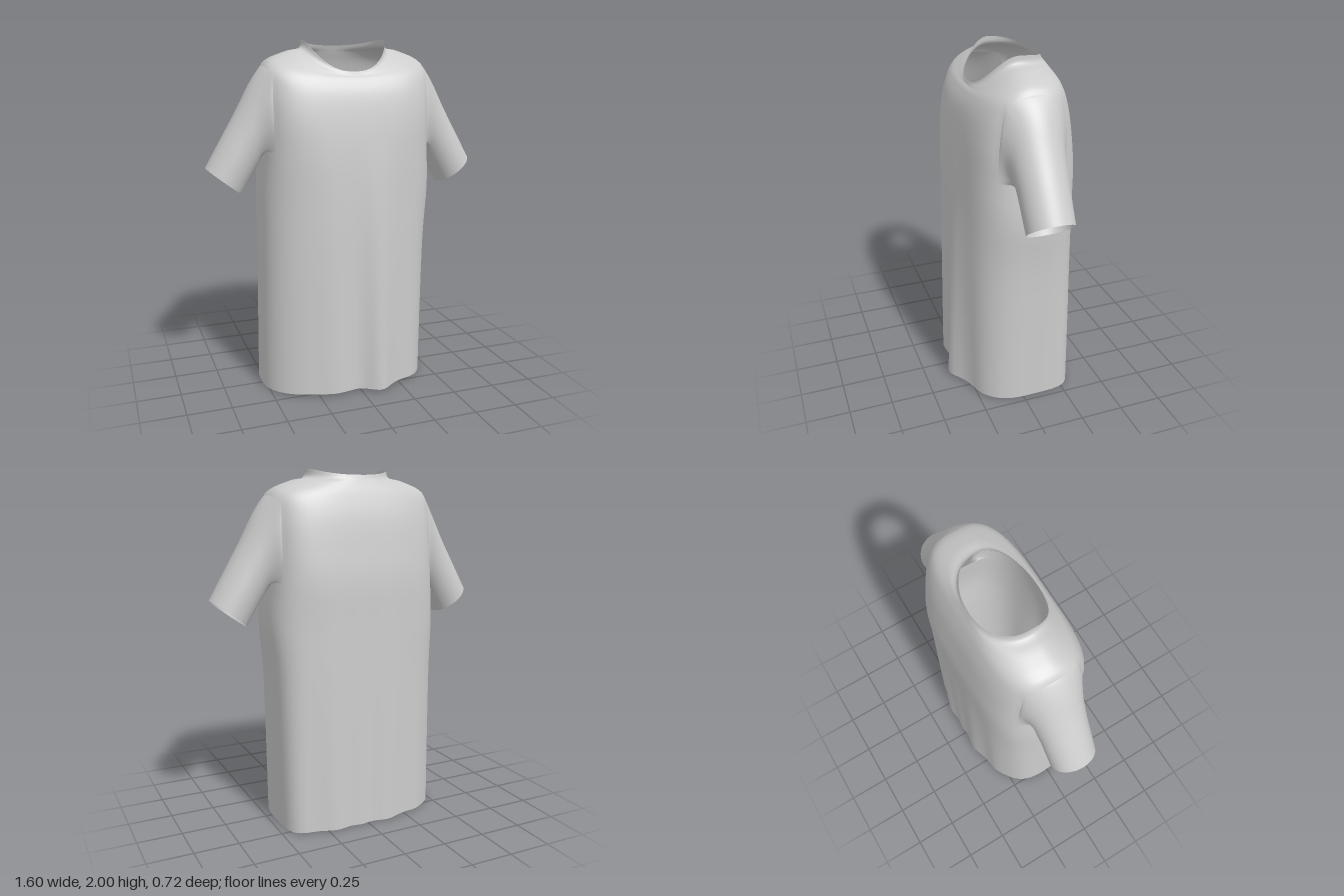
import * as THREE from 'three';

const COLS = 96, STEPS = 5, ZC = -0.03;

// Body rings, hem to collar: [side y, front y, back y, left x, right x, front z, back z,
// squareness of the front left, front right, back left and back right corners]
const BODY = [
  [0.005, 0.02, 0.012, 0.462, 0.52, 0.31, -0.335, 2.7, 2.5, 5.5, 2.8],
  [0.8, 0.8, 0.8, 0.475, 0.505, 0.30, -0.335, 2.7, 2.5, 4.2, 3.1],
  [1.15, 1.15, 1.15, 0.499, 0.50, 0.29, -0.335, 2.7, 2.6, 3.5, 3.5],
  [1.4, 1.4, 1.4, 0.482, 0.482, 0.275, -0.335, 3.2, 3.2, 3.7, 3.7],
  [1.6, 1.58, 1.58, 0.475, 0.475, 0.254, -0.316, 3.8, 3.8, 3.8, 3.8],
  [1.76, 1.71, 1.74, 0.475, 0.475, 0.228, -0.292, 3.6, 3.6, 3.5, 3.5],
  [1.878, 1.785, 1.855, 0.455, 0.455, 0.196, -0.26, 3.2, 3.2, 3.1, 3.1],
  [1.937, 1.81, 1.92, 0.33, 0.33, 0.176, -0.234, 2.7, 2.7, 2.6, 2.6],
  [1.955, 1.82, 1.945, 0.25, 0.25, 0.172, -0.224, 2.3, 2.3, 2.3, 2.3],
  [2.0, 1.83, 1.967, 0.237, 0.237, 0.168, -0.216, 2.2, 2.2, 2.2, 2.2],
];

// Sleeve rings, armhole to cuff: [top x, top y, bottom x, bottom y, half depth]
const SLEEVE = [
  [0.465, 1.872, 0.475, 1.4, 0.195],
  [0.53, 1.785, 0.495, 1.345, 0.152],
  [0.62, 1.62, 0.535, 1.28, 0.137],
  [0.71, 1.465, 0.572, 1.22, 0.132],
  [0.8, 1.31, 0.607, 1.16, 0.128],
];

// Cloth folds that deepen towards the hem: [x, width, depth]
const FRONT_FOLDS = [[0.11, 0.07, 0.055], [-0.17, 0.07, 0.015], [0.28, 0.07, -0.02], [-0.02, 0.05, -0.012]];
const BACK_FOLDS = [[0.2, 0.07, 0.028], [-0.12, 0.08, 0.03], [0.05, 0.06, 0.02], [-0.34, 0.05, 0.015], [0.33, 0.05, -0.012]];

// Smooth interpolation through a list of rows
function sample(rows, t) {
  const i = Math.min(Math.floor(t), rows.length - 2), f = t - i;
  const row = (k) => rows[THREE.MathUtils.clamp(k, 0, rows.length - 1)];
  return rows[0].map((_, c) => {
    const [a, b, d, e] = [row(i - 1)[c], row(i)[c], row(i + 1)[c], row(i + 2)[c]];
    return b + 0.5 * f * (d - a + f * (2 * a - 5 * b + 4 * d - e + f * (3 * (b - d) + e - a)));
  });
}

function foldDepth(folds, x, y) {
  const fade = Math.max(0, 1 - y / 1.45);
  return fade * folds.reduce((sum, [cx, w, d]) => sum + d * Math.exp(-(((x - cx) / w) ** 2)), 0);
}

function bodyPoint(row, angle) {
  const [ySide, yFront, yBack, xl, xr, zf, zb, ...corners] = row;
  const c = Math.cos(angle), s = Math.sin(angle);
  const n = corners[(s > 0 ? 0 : 2) + (c > 0 ? 0 : 1)];
  const r = (Math.abs(c) ** n + Math.abs(s) ** n) ** (-1 / n);
  const y = ySide + ((s > 0 ? yFront : yBack) - ySide) * (1 - Math.abs(c) ** 2.6);
  const x = r * c * (c > 0 ? xl : xr);
  const depth = foldDepth(s > 0 ? FRONT_FOLDS : BACK_FOLDS, x, y) * s * s;
  const z = s > 0 ? ZC + r * s * (zf - ZC) + depth : ZC - r * s * (zb - ZC) - depth;
  return [x, y, z];
}

function shirtGeometry() {
  const pos = [], index = [];
  const rows = (BODY.length - 1) * STEPS;
  const at = (i, j) => i * COLS + ((j + COLS) % COLS);
  const lowRow = 15, highRow = 29, halfHole = 9;

  // Body, leaving out the two armholes
  for (let i = 0; i <= rows; i++) {
    const row = sample(BODY, i / STEPS);
    for (let j = 0; j < COLS; j++) pos.push(...bodyPoint(row, (j / COLS) * Math.PI * 2));
  }
  const inHole = (i, j) => i >= lowRow && i < highRow &&
    [0, COLS / 2, COLS].some((m) => j >= m - halfHole && j < m + halfHole);
  for (let i = 0; i < rows; i++) {
    for (let j = 0; j < COLS; j++) {
      if (inHole(i, j)) continue;
      const a = at(i, j), b = at(i, j + 1), c = at(i + 1, j + 1), d = at(i + 1, j);
      index.push(a, d, c, a, c, b);
    }
  }

  // Sleeves grow out of the armhole edges
  for (const [mid, side] of [[0, 1], [COLS / 2, -1]]) {
    let ring = [];
    for (let j = -halfHole; j < halfHole; j++) ring.push(at(lowRow, mid + j));
    for (let i = lowRow; i < highRow; i++) ring.push(at(i, mid + halfHole));
    for (let j = halfHole; j > -halfHole; j--) ring.push(at(highRow, mid + j));
    for (let i = highRow; i > lowRow; i--) ring.push(at(i, mid - halfHole));
    const edge = ring.map((v) => pos.slice(v * 3, v * 3 + 3));
    const angles = edge.map(([, y, z]) => Math.atan2((y - 1.63) / 0.23, (z - ZC) / 0.19));

    const count = 20;
    for (let k = 1; k <= count; k++) {
      const [tx, ty, bx, by, hz] = sample(SLEEVE, (k / count) * (SLEEVE.length - 1));
      const blend = THREE.MathUtils.smoothstep(k / count, -0.05, 0.35);
      const next = angles.map((a, l) => {
        const s = Math.sin(a);
        const target = [
          side * ((tx + bx) / 2 + ((tx - bx) / 2) * s),
          (ty + by) / 2 + ((ty - by) / 2) * s,
          ZC + hz * Math.cos(a),
        ];
        pos.push(...target.map((v, c) => THREE.MathUtils.lerp(edge[l][c], v, blend)));
        return pos.length / 3 - 1;
      });
      ring.forEach((p, l) => {
        const m = (l + 1) % ring.length;
        index.push(p, next[l], next[m], p, next[m], ring[m]);
      });
      ring = next;
    }
  }

  const geometry = new THREE.BufferGeometry();
  geometry.setAttribute('position', new THREE.Float32BufferAttribute(pos, 3));
  geometry.setIndex(index);
  geometry.computeVertexNormals();
  return geometry;
}

export function createModel() {
  const cloth = new THREE.MeshStandardMaterial({ color: 0xcccccc, side: THREE.DoubleSide });
  cloth.name = 'grey cloth';
  const shirt = new THREE.Mesh(shirtGeometry(), cloth);
  shirt.name = 'shirt';
  const group = new THREE.Group();
  group.name = 'tShirt';
  group.add(shirt);
  return group;
}
